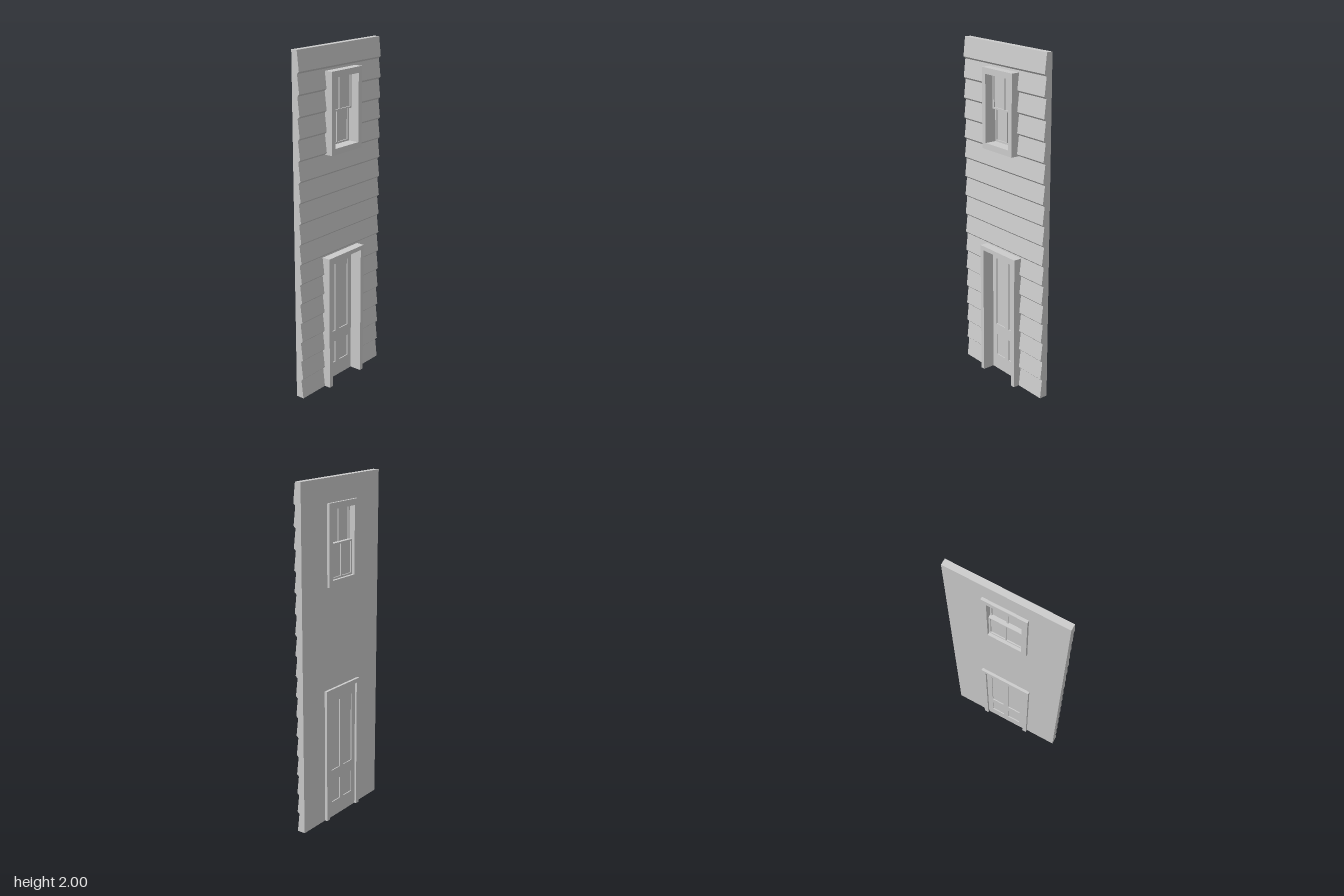
import * as THREE from 'three';

const material = new THREE.MeshStandardMaterial({ color: 0xcccccc, flatShading: true });
const BACK = -0.037, LIP = 0.013, BOARD = 2 / 17, BAND = 0.006;

function add(parent, geometry, name) {
  const mesh = new THREE.Mesh(geometry, material);
  mesh.name = name;
  parent.add(mesh);
  return mesh;
}

function box(parent, name, x0, x1, y0, y1, z0, z1) {
  const mesh = add(parent, new THREE.BoxGeometry(x1 - x0, y1 - y0, z1 - z0), name);
  mesh.position.set((x0 + x1) / 2, (y0 + y1) / 2, (z0 + z1) / 2);
  return mesh;
}

function trace(path, [x0, x1, y0, y1]) {
  path.moveTo(x0, y0).lineTo(x1, y0).lineTo(x1, y1).lineTo(x0, y1).closePath();
  return path;
}

// Flat rectangular plate with rectangular holes
function plate(parent, name, outer, holes, z0, z1) {
  const shape = trace(new THREE.Shape(), outer);
  holes.forEach(h => shape.holes.push(trace(new THREE.Path(), h)));
  const geometry = new THREE.ExtrudeGeometry(shape, { depth: z1 - z0, bevelEnabled: false });
  geometry.translate(0, 0, z0);
  return add(parent, geometry, name);
}

// Saw-tooth siding outline from bottom to top, as [z, y]
const sawtooth = [[LIP, 0]];
for (let i = 1; i < 17; i++) {
  sawtooth.push([0, i * BOARD - BAND], [LIP, i * BOARD + BAND]);
}
sawtooth.push([0, 2]);

function sidingZ(y) {
  const i = Math.max(1, sawtooth.findIndex(p => p[1] >= y));
  const [za, ya] = sawtooth[i - 1], [zb, yb] = sawtooth[i];
  return za + (zb - za) * (y - ya) / (yb - ya);
}

// Block of wall with siding on its front
function wallBlock(parent, x0, x1, y0, y1) {
  const front = sawtooth.filter(p => p[1] > y0 && p[1] < y1);
  const points = [[BACK, y0], [sidingZ(y0), y0], ...front, [sidingZ(y1), y1], [BACK, y1]];
  const shape = new THREE.Shape(points.map(p => new THREE.Vector2(...p)));
  const geometry = new THREE.ExtrudeGeometry(shape, { depth: x1 - x0, bevelEnabled: false });
  geometry.rotateY(-Math.PI / 2);
  geometry.translate(x1, 0, 0);
  add(parent, geometry, 'sidingWall');
}

// Window sash: rim, vertical glazing bar and pane
function sash(parent, name, y0, y1, z0, z1) {
  const group = new THREE.Group();
  group.name = name;
  plate(group, 'sashRim', [-0.1, 0.1, y0, y1],
    [[-0.09, -0.004, y0 + 0.01, y1 - 0.01], [0.004, 0.09, y0 + 0.01, y1 - 0.01]], z0, z1);
  const mid = (z0 + z1) / 2;
  box(group, 'pane', -0.095, 0.095, y0 + 0.005, y1 - 0.005, mid - 0.002, mid + 0.002);
  parent.add(group);
}

export function createModel() {
  const model = new THREE.Group();
  model.name = 'wallSection';

  // Wall around the two openings
  const wall = new THREE.Group();
  wall.name = 'wall';
  model.add(wall);
  wallBlock(wall, -0.35, 0.35, 0.8, 1.42);
  wallBlock(wall, -0.35, 0.35, 1.85, 2);
  for (const [inner, y0, y1] of [[0.145, 0, 0.8], [0.115, 1.42, 1.85]]) {
    wallBlock(wall, inner, 0.35, y0, y1);
    wallBlock(wall, -0.35, -inner, y0, y1);
  }

  // Door casing, open at the bottom
  const casing = new THREE.Shape([
    [-0.157, 0], [-0.13, 0], [-0.13, 0.785], [0.13, 0.785],
    [0.13, 0], [0.157, 0], [0.157, 0.81], [-0.157, 0.81],
  ].map(p => new THREE.Vector2(...p)));
  const casingGeometry = new THREE.ExtrudeGeometry(casing, { depth: 0.104, bevelEnabled: false });
  casingGeometry.translate(0, 0, -0.053);
  add(model, casingGeometry, 'doorCasing');

  // Door with four sunken panels
  const door = new THREE.Group();
  door.name = 'door';
  model.add(door);
  const panels = [];
  for (const [x0, x1] of [[-0.097, -0.017], [0.017, 0.097]]) {
    for (const [y0, y1] of [[0.095, 0.23], [0.3, 0.725]]) panels.push([x0, x1, y0, y1]);
  }
  plate(door, 'doorLeaf', [-0.13, 0.13, 0, 0.785], panels, -0.04, -0.022);
  panels.forEach(([x0, x1, y0, y1]) =>
    box(door, 'doorPanel', x0, x1, y0, y1, -0.034, -0.028));

  // Window casing with two sashes, the lower one set further back
  plate(model, 'windowCasing', [-0.13, 0.13, 1.405, 1.865], [[-0.1, 0.1, 1.44, 1.83]], -0.053, 0.051);
  sash(model, 'upperSash', 1.63, 1.83, -0.018, 0);
  sash(model, 'lowerSash', 1.44, 1.64, -0.036, -0.018);

  return model;
}
